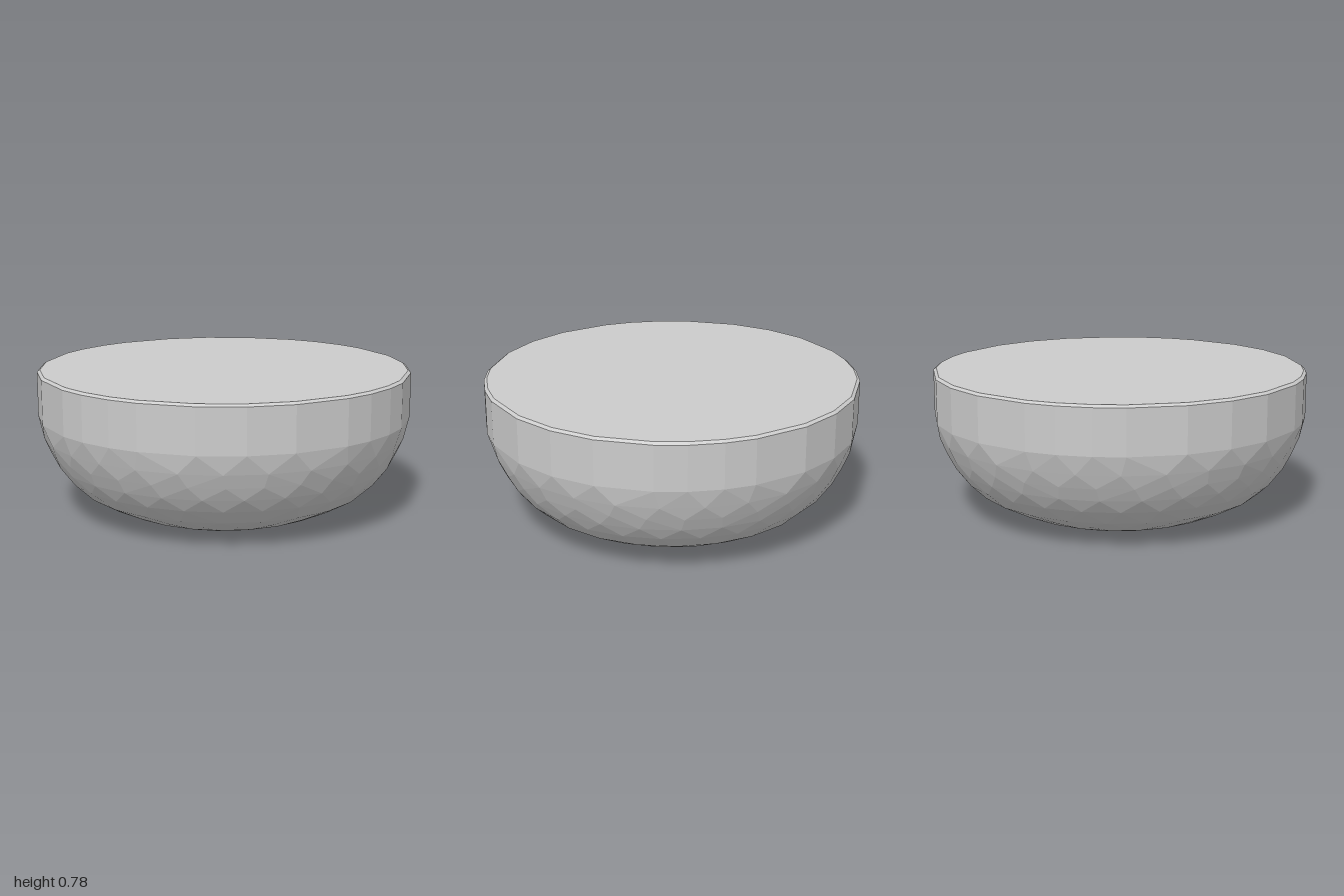
import * as THREE from 'three';
import { ConvexGeometry } from 'three/addons/geometries/ConvexGeometry.js';

// Uneven corner angles of the upper wall, in degrees, repeated each quarter turn
const WALL = [5.1, 14.3, 31.2, 45, 58.8, 75.7, 84.9];

function ring(points, radius, y, angles) {
  for (const a of angles) {
    const t = THREE.MathUtils.degToRad(a);
    points.push(new THREE.Vector3(radius * Math.cos(t), y, radius * Math.sin(t)));
  }
}

const evenAngles = (n, offset) => Array.from({ length: n }, (_, i) => ((i + offset) * 360) / n);

export function createModel() {
  const group = new THREE.Group();
  group.name = 'bowl';
  const points = [];

  // Straight upper wall with a tiny bevel at the flat top
  const wallAngles = [0, 90, 180, 270].flatMap((q) => WALL.map((a) => a + q));
  ring(points, 0.988, 0.78, wallAngles);
  ring(points, 1.004, 0.768, wallAngles);
  ring(points, 1.004, 0.53, wallAngles);

  // Staggered rings of the rounded underside: radius, height, corners, offset
  const rings = [
    [0.978, 0.43, 28, 0],
    [0.947, 0.355, 32, 0.5],
    [0.912, 0.285, 28, 0.5],
    [0.862, 0.213, 28, 0],
    [0.775, 0.13, 24, 0.5],
    [0.68, 0.078, 24, 0],
    [0.575, 0.03, 24, 0.5],
    [0.485, 0, 32, 0],
  ];
  for (const [r, y, n, offset] of rings) ring(points, r, y, evenAngles(n, offset));

  const material = new THREE.MeshStandardMaterial({ color: 0xcccccc, flatShading: true });
  const body = new THREE.Mesh(new ConvexGeometry(points), material);
  body.name = 'bowlBody';
  group.add(body);
  return group;
}
